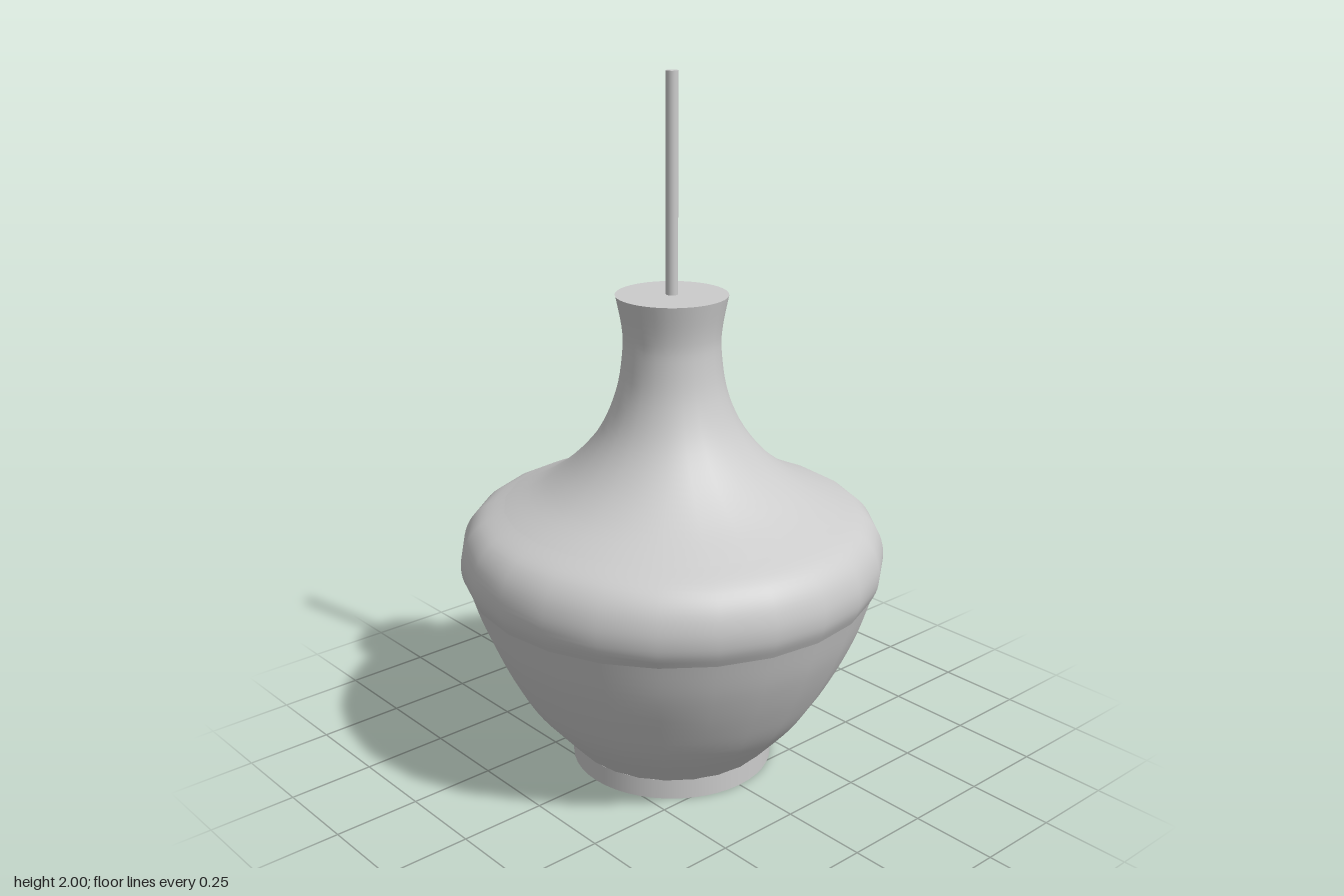
import * as THREE from 'three';

const material = new THREE.MeshStandardMaterial({ color: 0xcccccc });

// Smooth curve through [radius, height] pairs
function profile(pairs, divisions) {
  return new THREE.SplineCurve(pairs.map(([r, y]) => new THREE.Vector2(r, y))).getPoints(divisions);
}

// Turned part; the profile runs upwards so that its faces look outwards
function turned(name, points, sides) {
  const mesh = new THREE.Mesh(new THREE.LatheGeometry(points, sides), material);
  mesh.name = name;
  return mesh;
}

export function createModel() {
  const model = new THREE.Group();
  model.name = 'pendantLamp';

  // Bowl flaring upwards from the foot
  model.add(turned('lowerBowl', profile([
    [0.292, 0.055], [0.41, 0.19], [0.485, 0.315], [0.545, 0.445], [0.583, 0.56],
  ], 20), 24));

  // Rounded band at the widest point
  model.add(turned('shoulderBand', profile([
    [0.583, 0.56], [0.603, 0.605], [0.606, 0.66], [0.588, 0.717], [0.548, 0.762], [0.48, 0.795],
  ], 20), 24));

  // Concave shoulder sweeping into the flared neck
  model.add(turned('neck', profile([
    [0.48, 0.795], [0.37, 0.85], [0.275, 0.925], [0.2, 1.02], [0.155, 1.13],
    [0.138, 1.24], [0.14, 1.31], [0.157, 1.4],
  ], 32), 24));

  // Flat lid on the neck
  const lid = new THREE.Mesh(new THREE.CircleGeometry(0.157, 48), material);
  lid.name = 'neckLid';
  lid.rotation.x = -Math.PI / 2;
  lid.position.y = 1.4;
  model.add(lid);

  // Foot ring: side wall, top rim and underside with a small central hole
  const footWall = new THREE.Mesh(new THREE.CylinderGeometry(0.295, 0.295, 0.06, 48, 1, true), material);
  footWall.name = 'footWall';
  footWall.position.y = 0.03;
  const footRim = new THREE.Mesh(new THREE.RingGeometry(0.27, 0.295, 48), material);
  footRim.name = 'footRim';
  footRim.rotation.x = -Math.PI / 2;
  footRim.position.y = 0.06;
  const underside = new THREE.Mesh(new THREE.RingGeometry(0.012, 0.295, 48), material);
  underside.name = 'footUnderside';
  underside.rotation.x = Math.PI / 2;
  model.add(footWall, footRim, underside);

  // Hanging rod
  const rod = new THREE.Mesh(new THREE.CylinderGeometry(0.017, 0.017, 0.6, 24), material);
  rod.name = 'hangingRod';
  rod.position.y = 1.7;
  model.add(rod);

  return model;
}
